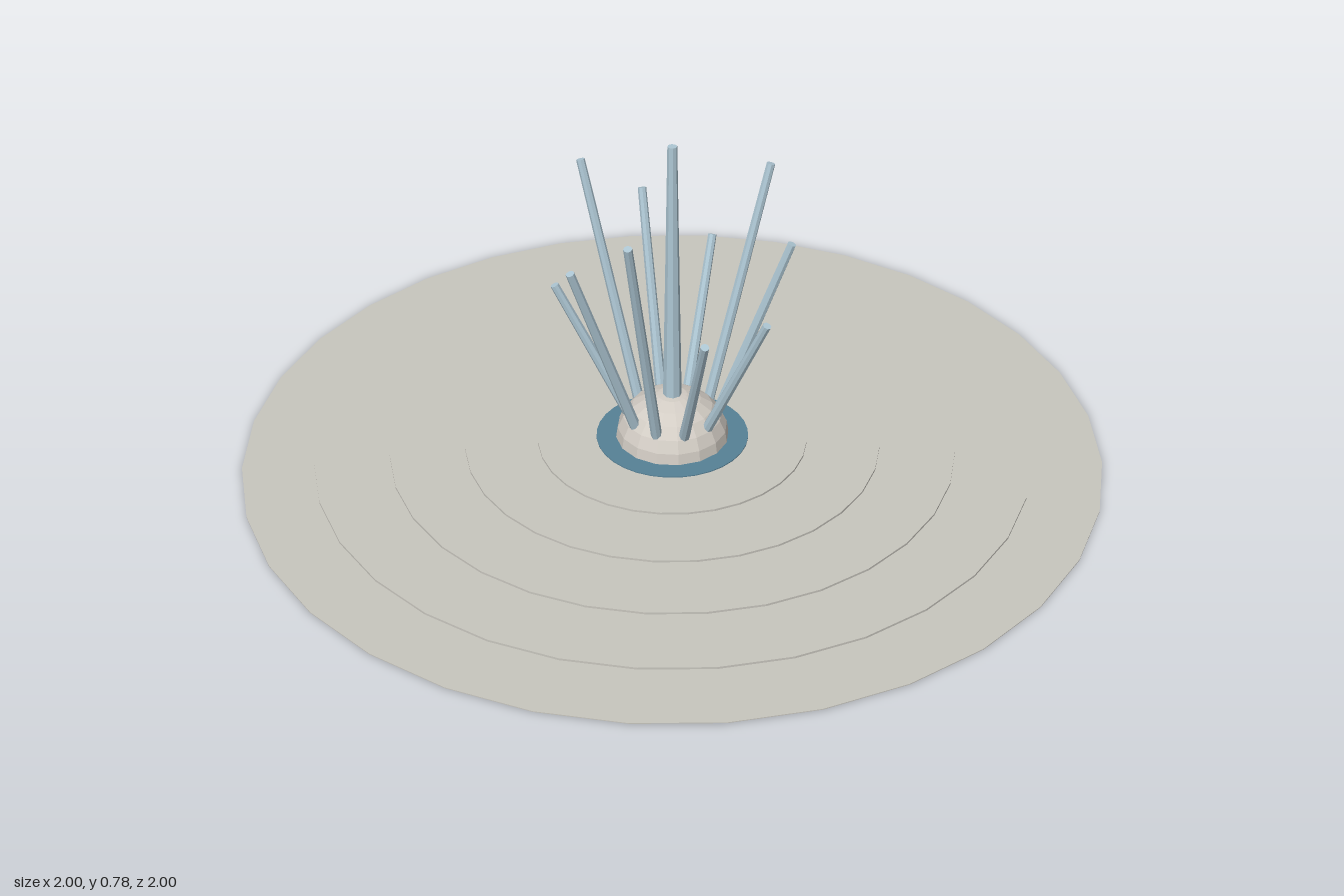
import * as THREE from 'three';

const paving = new THREE.MeshStandardMaterial({ color: 0xc8c6be, flatShading: true, side: THREE.DoubleSide });
paving.name = 'paving stone';
const stone = new THREE.MeshStandardMaterial({ color: 0xd2ccc4, flatShading: true });
stone.name = 'dome stone';
const water = new THREE.MeshStandardMaterial({ color: 0x568196 });
water.name = 'pool water';
const spray = new THREE.MeshStandardMaterial({ color: 0xadc6d3, flatShading: true });
spray.name = 'water jet';

function add(parent, name, geometry, material) {
  const mesh = new THREE.Mesh(geometry, material);
  mesh.name = name;
  parent.add(mesh);
  return mesh;
}

// Tapered jet running from one point to another
function addJet(parent, name, from, to, rBottom, rTop) {
  const dir = to.clone().sub(from);
  const jet = add(parent, name, new THREE.CylinderGeometry(rTop, rBottom, dir.length(), 8), spray);
  jet.position.copy(from).add(to).multiplyScalar(0.5);
  jet.quaternion.setFromUnitVectors(new THREE.Vector3(0, 1, 0), dir.normalize());
}

export function createModel() {
  const fountain = new THREE.Group();
  fountain.name = 'fountain';

  // Shallow steps rising towards the pool, hollow beneath
  const radii = [1, 0.835, 0.66, 0.485, 0.315, 0.175];
  const profile = [];
  for (let i = 0; i < radii.length - 1; i++) {
    const y = 0.002 + i * 0.005;
    profile.push(new THREE.Vector2(radii[i], y), new THREE.Vector2(radii[i + 1], y));
  }
  profile.unshift(new THREE.Vector2(1, 0));
  add(fountain, 'steppedPlaza', new THREE.LatheGeometry(profile.reverse(), 32), paving);

  // Pool around the dome
  const pool = add(fountain, 'pool', new THREE.CylinderGeometry(0.178, 0.178, 0.006, 32), water);
  pool.position.y = 0.0215;

  // Half-sphere nozzle dome
  const dome = add(fountain, 'nozzleDome',
    new THREE.SphereGeometry(0.133, 16, 6, 0, Math.PI * 2, 0, Math.PI / 2), stone);
  dome.position.y = 0.02;
  dome.scale.y = 0.89;

  // Centre jet and a ring of ten leaning jets in three heights
  const jets = new THREE.Group();
  jets.name = 'jets';
  fountain.add(jets);
  addJet(jets, 'centreJet', new THREE.Vector3(0, 0.12, 0), new THREE.Vector3(0, 0.777, 0), 0.022, 0.011);
  const heights = [0.42, 0.54, 0.66];
  for (let i = 0; i < 10; i++) {
    const a = (i / 10) * Math.PI * 2;
    const at = (r, y) => new THREE.Vector3(r * Math.cos(a), y, -r * Math.sin(a));
    addJet(jets, 'outerJet' + (i + 1), at(0.1, 0.075), at(0.267, heights[i % 3]), 0.013, 0.01);
  }
  return fountain;
}
